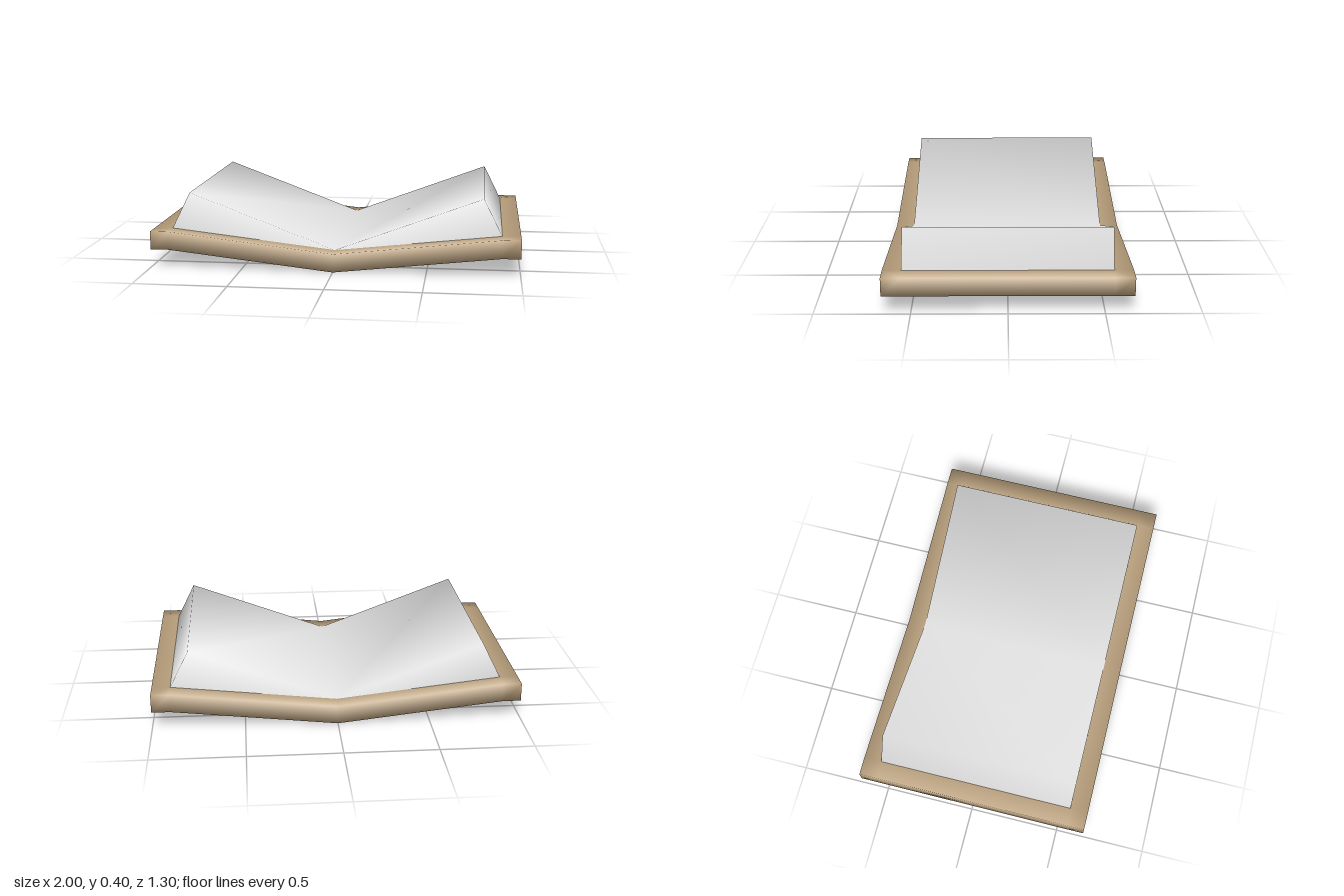
import * as THREE from 'three';
import { mergeVertices } from 'three/addons/utils/BufferGeometryUtils.js';

// Smooth normals over shared corners, each face weighted by its corner angle
function smoothByAngle(geometry) {
  const pos = geometry.attributes.position;
  const index = geometry.index;
  const sums = Array.from({ length: pos.count }, () => new THREE.Vector3());
  const normal = new THREE.Vector3();
  for (let t = 0; t < index.count; t += 3) {
    const ids = [0, 1, 2].map((k) => index.getX(t + k));
    const p = ids.map((i) => new THREE.Vector3().fromBufferAttribute(pos, i));
    THREE.Triangle.getNormal(p[0], p[1], p[2], normal);
    ids.forEach((id, k) => {
      const a = p[(k + 1) % 3].clone().sub(p[k]);
      const b = p[(k + 2) % 3].clone().sub(p[k]);
      sums[id].addScaledVector(normal, a.angleTo(b));
    });
  }
  const normals = sums.flatMap((n) => n.normalize().toArray());
  geometry.setAttribute('normal', new THREE.Float32BufferAttribute(normals, 3));
  return geometry;
}

// Cover board: a slab with a narrow rim, bent into a shallow V at the spine
function coverGeometry() {
  const box = new THREE.BoxGeometry(2, 0.1, 1.3, 4, 1, 3);
  box.deleteAttribute('normal');
  box.deleteAttribute('uv');
  const geometry = mergeVertices(box, 1e-4);
  const pos = geometry.attributes.position;
  for (let i = 0; i < pos.count; i++) {
    let x = pos.getX(i);
    let z = pos.getZ(i);
    if (Math.abs(Math.abs(x) - 0.5) < 0.01) x = Math.sign(x) * 0.9;
    if (Math.abs(z) < 0.5) z = Math.sign(z) * 0.55;
    const lift = Math.min(Math.abs(x) / 0.9, 1) * 0.1;
    pos.setXYZ(i, x, pos.getY(i) + 0.05 + lift, z);
  }
  return smoothByAngle(geometry);
}

// Page blocks: one cross-section swept from front to back, closed at both ends
function pagesGeometry() {
  const profile = [[-0.9, 0.2], [-0.8, 0.4], [0, 0.1], [0.8, 0.4], [0.9, 0.2]];
  const n = profile.length;
  const points = [0.55, -0.55].flatMap((z) => profile.flatMap(([x, y]) => [x, y, z]));
  const faces = [];
  for (let f = 0; f < n - 1; f++) {
    const g = f + 1, b = f + n, c = g + n;
    if (f === 0) faces.push(f, g, b, g, c, b);
    else if (f === n - 2) faces.push(f, g, b, g, c, b);
    else faces.push(f, g, c, f, c, b);
  }
  for (const f of [0, 2]) {
    faces.push(f, f + 2, f + 1, f + n, f + n + 1, f + n + 2);
  }
  const geometry = new THREE.BufferGeometry();
  geometry.setAttribute('position', new THREE.Float32BufferAttribute(points, 3));
  geometry.setIndex(faces);
  return smoothByAngle(geometry);
}

export function createModel() {
  const coverTan = new THREE.MeshStandardMaterial({ color: 0xb89f7c });
  coverTan.name = 'cover tan';
  const pageWhite = new THREE.MeshStandardMaterial({ color: 0xe4e4e4 });
  pageWhite.name = 'page white';

  const cover = new THREE.Mesh(coverGeometry(), coverTan);
  cover.name = 'cover';
  const pages = new THREE.Mesh(pagesGeometry(), pageWhite);
  pages.name = 'pages';

  const book = new THREE.Group();
  book.name = 'openBook';
  book.add(cover, pages);
  return book;
}
